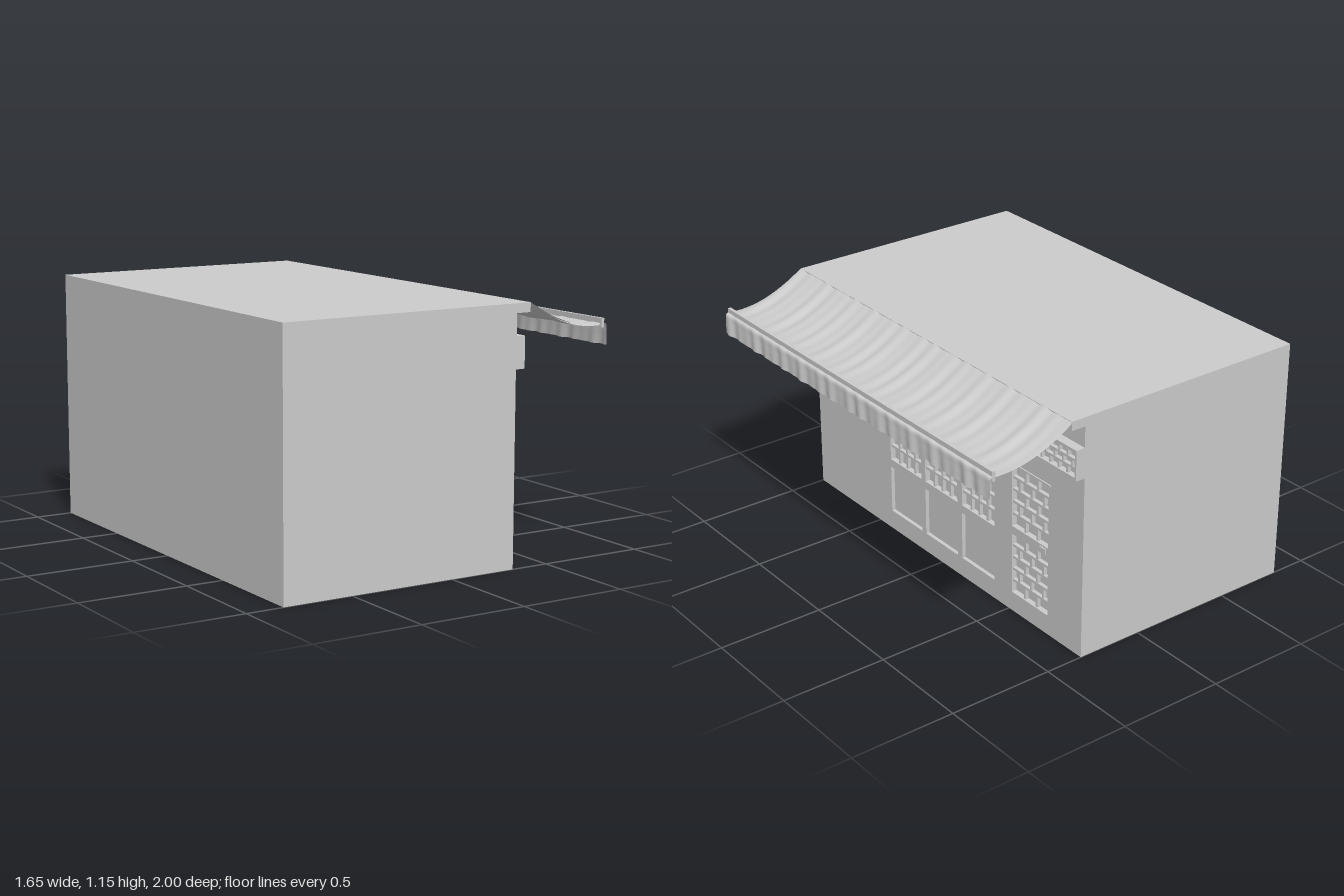
import * as THREE from 'three';
import { ParametricGeometry } from 'three/addons/geometries/ParametricGeometry.js';

const material = new THREE.MeshStandardMaterial({ color: 0xcccccc, side: THREE.DoubleSide });
const WALL = 0.32, BAND = 0.366;

export function createModel() {
  const model = new THREE.Group();
  const add = (name, geometry, parent = model) => {
    const mesh = new THREE.Mesh(geometry, material);
    mesh.name = name;
    parent.add(mesh);
    return mesh;
  };
  // Box given by its limits along each axis
  const box = (name, x0, x1, y0, y1, z0, z1, parent) => {
    const g = new THREE.BoxGeometry(x1 - x0, y1 - y0, z1 - z0);
    g.translate((x0 + x1) / 2, (y0 + y1) / 2, (z0 + z1) / 2);
    return add(name, g, parent);
  };

  // Hollow body, open underneath, with a stepped cornice on the shop side
  const profile = [[WALL, 0], [WALL, 0.87], [BAND, 0.87], [BAND, 1.012], [0.322, 1.012],
    [0.322, 1.11], [0.393, 1.11], [0.393, 1.152], [-0.828, 1.152], [-0.828, 0]]
    .map(p => new THREE.Vector2(...p));
  for (const z of [-1, 1]) {
    const end = new THREE.ShapeGeometry(new THREE.Shape(profile));
    if (z < 0) end.rotateY(Math.PI);
    if (z < 0) end.scale(-1, 1, 1);
    add('endWall', end.translate(0, 0, z));
  }
  const stripNames = ['', 'bandSoffit', '', 'bandLedge', 'friezeWall', 'corniceSoffit', 'corniceEdge', 'roof', 'rearWall'];
  stripNames.forEach((name, i) => {
    if (!name) return;
    const a = profile[i], b = profile[i + 1];
    const g = new THREE.PlaneGeometry(2, a.distanceTo(b));
    g.rotateY(Math.PI / 2);
    g.rotateZ(Math.atan2(b.y - a.y, b.x - a.x) - Math.PI / 2);
    add(name, g.translate((a.x + b.x) / 2, (a.y + b.y) / 2, 0));
  });

  // Flat wall facing +x with rectangular openings [z0, z1, y0, y1]
  const rect = (T, [z0, z1, y0, y1]) => new T([[-z1, y0], [-z0, y0], [-z0, y1], [-z1, y1]]
    .map(p => new THREE.Vector2(...p)));
  const piercedWall = (name, x, limits, openings) => {
    const shape = rect(THREE.Shape, limits);
    shape.holes = openings.map(o => rect(THREE.Path, o));
    add(name, new THREE.ShapeGeometry(shape).rotateY(Math.PI / 2).translate(x, 0, 0));
  };
  // Recess behind an opening: a box without its front
  const recess = (name, x, depth, [z0, z1, y0, y1]) => {
    const mesh = box(name, x - depth, x, y0, y1, z0, z1);
    const g = mesh.geometry;
    g.setIndex(Array.from(g.index.array).slice(6));
    g.clearGroups();
  };
  // Lattice of bars; staggered gives brick-like uprights
  const lattice = (name, x, [z0, z1, y0, y1], cols, rows, staggered, bar = 0.012) => {
    const group = new THREE.Group();
    group.name = name;
    model.add(group);
    const back = x - 0.024, front = x - 0.006, h = (y1 - y0) / rows, w = (z1 - z0) / cols;
    for (let r = 1; r < rows; r++) {
      const y = y0 + r * h;
      box('crossBar', back, front, y - bar / 2, y + bar / 2, z0, z1, group);
    }
    for (let r = 0; r < rows; r++) {
      const shift = staggered && r % 2 ? w / 2 : 0;
      for (let c = shift ? 0 : 1; c < cols; c++) {
        const z = z0 + c * w + shift;
        box('upright', back, front - 0.001, y0 + r * h, y0 + (r + 1) * h, z - bar / 2, z + bar / 2, group);
      }
    }
  };

  // Shop front: three bays of window over panel, and a door with two lights
  const bays = [[0.155, 0.4], [-0.12, 0.125], [-0.395, -0.155]];
  const windows = bays.map(b => [...b, 0.37, 0.72]);
  const panels = bays.map(b => [...b, 0.095, 0.33]);
  const doorLights = [[-0.77, -0.52, 0.43, 0.73], [-0.77, -0.52, 0.095, 0.39]];
  piercedWall('shopFront', WALL, [-1, 1, 0, 0.87], [...windows, ...panels, ...doorLights]);
  windows.forEach(o => {
    recess('windowRecess', WALL, 0.026, o);
    lattice('windowLattice', WALL, o, 4, 5, false);
  });
  panels.forEach(o => recess('lowerPanel', WALL, 0.018, o));
  doorLights.forEach(o => {
    recess('doorRecess', WALL, 0.026, o);
    lattice('doorLattice', WALL, o, 3, 5, true);
  });
  box('doorBack', 0.01, 0.293, 0.085, 0.73, -0.775, -0.515);
  box('doorLintel', WALL - 0.01, 0.326, 0.736, 0.744, -0.785, -0.5);
  box('doorHandle', WALL - 0.005, 0.327, 0.393, 0.422, -0.757, -0.717);
  box('signBoard', WALL - 0.005, 0.334, 0.747, 0.868, -0.495, 0.5);

  // Projecting transom band with three long lattices
  const transoms = [[0.425, 0.99], [-0.33, 0.33], [-0.99, -0.425]].map(b => [...b, 0.884, 0.998]);
  piercedWall('transomBand', BAND, [-1, 1, 0.87, 1.012], transoms);
  transoms.forEach((o, i) => {
    recess('transomRecess', BAND, 0.028, o);
    lattice('transomLattice', BAND, o, i === 1 ? 12 : 10, 3, true, 0.01);
  });

  // Rippled cloth swept along z from a side curve
  const ripple = z => 0.45 * Math.sin(z * 52 + Math.sin(z * 7)) + 0.35 * Math.sin(z * 83 + 1.3) + 0.2 * Math.sin(z * 31 + 2);
  const cloth = (name, points, sway, lift) => {
    const curve = new THREE.CatmullRomCurve3(points.map(([x, y]) => new THREE.Vector3(x, y, 0)));
    add(name, new ParametricGeometry((u, v, out) => {
      const z = 2 * v - 1;
      const wave = ripple(z + 0.03 * u);
      curve.getPoint(u, out);
      out.set(out.x + sway(u) * wave, out.y + lift(u) * wave, z);
    }, 14, 240));
  };
  const canopy = [[0.391, 1.151], [0.47, 1.105], [0.55, 1.07], [0.63, 1.046], [0.71, 1.035], [0.785, 1.034]];
  const wave = u => 0.0015 + 0.003 * Math.sin(Math.PI * u);
  cloth('awning', canopy, u => 0.003 * (1 - u), wave);
  cloth('awningUnderside', canopy.map(([x, y]) => [x, y - 0.006]), u => 0.003 * (1 - u), wave);
  box('awningRail', 0.78, 0.795, 1.015, 1.057, -1, 1);
  const valance = [[0.794, 1.036], [0.806, 1.03], [0.811, 0.995], [0.815, 0.94]];
  const sway = u => 0.001 + 0.006 * u;
  cloth('valance', valance, sway, () => 0.001);
  cloth('valanceLining', valance.map(([x, y]) => [x - 0.007, y - 0.002]), sway, () => 0.001);

  return model;
}
